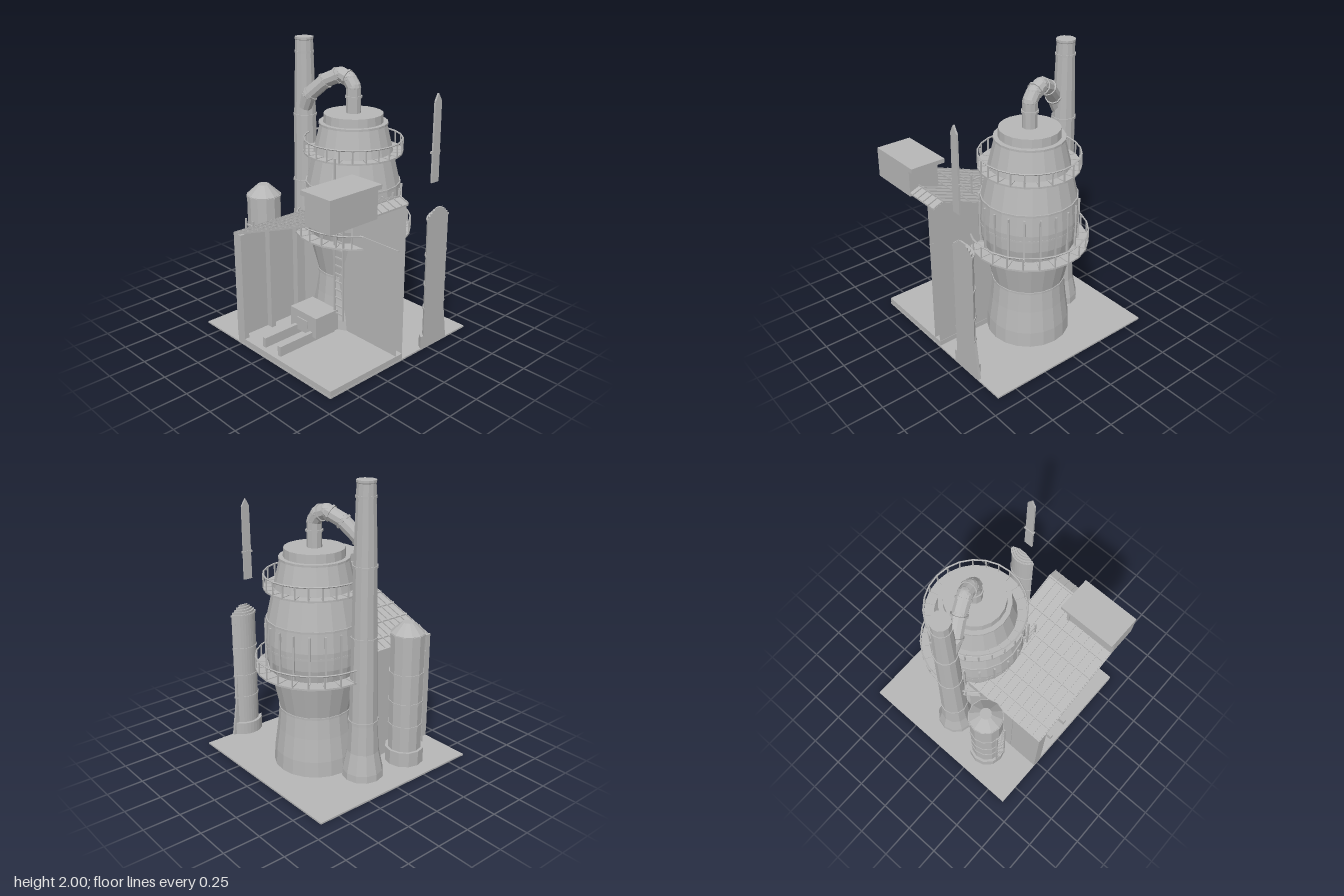
import * as THREE from 'three';

export function createModel() {
  const model = new THREE.Group();
  const grey = new THREE.MeshStandardMaterial({ color: 0xb6b6b6, side: THREE.DoubleSide });
  grey.name = 'plain grey';

  // every part is faceted: split the faces so each has its own normal
  const add = (parent, name, geo, x = 0, y = 0, z = 0) => {
    const flat = geo.index ? geo.toNonIndexed() : geo;
    flat.computeVertexNormals();
    const mesh = new THREE.Mesh(flat, grey);
    mesh.name = name;
    mesh.position.set(x, y, z);
    parent.add(mesh);
    return mesh;
  };
  const group = (name, x = 0, y = 0, z = 0) => {
    const g = new THREE.Group();
    g.name = name;
    g.position.set(x, y, z);
    model.add(g);
    return g;
  };
  // box given by its two corners
  const box = (parent, name, x0, x1, y0, y1, z0, z1) =>
    add(parent, name, new THREE.BoxGeometry(x1 - x0, y1 - y0, z1 - z0),
      (x0 + x1) / 2, (y0 + y1) / 2, (z0 + z1) / 2);
  const lathe = (parent, name, pts, sides) =>
    add(parent, name, new THREE.LatheGeometry(pts.map(p => new THREE.Vector2(p[0], p[1])), sides));
  // raised hoop around a round body
  const hoop = (parent, name, r, y, h, sides) =>
    add(parent, name, new THREE.CylinderGeometry(r, r, h, sides), 0, y, 0);
  // straight round bar between two points
  const bar = (parent, name, a, b, r, sides = 8) => {
    const d = b.clone().sub(a);
    const m = add(parent, name, new THREE.CylinderGeometry(r, r, d.length(), sides));
    m.position.copy(a).addScaledVector(d, 0.5);
    m.quaternion.setFromUnitVectors(new THREE.Vector3(0, 1, 0), d.normalize());
    return m;
  };
  const ladder = (name, x0, x1, y0, y1, z, rungs) => {
    const g = group(name);
    for (const x of [x0, x1]) box(g, 'ladderRail', x - 0.005, x + 0.005, y0, y1, z - 0.006, z + 0.006);
    for (let i = 0; i < rungs; i++) {
      const y = y0 + 0.04 + (y1 - y0 - 0.08) * i / (rungs - 1);
      box(g, 'ladderRung', x0, x1, y - 0.005, y + 0.005, z - 0.004, z + 0.004);
    }
  };

  // ground and building slab
  box(model, 'ground', -0.645, 0.645, 0, 0.012, -0.645, 0.645);
  box(model, 'buildingSlab', -0.28, 0.643, 0.012, 0.05, 0, 0.643);

  // furnace body
  const furnace = group('furnace', 0, 0, -0.165);
  lathe(furnace, 'furnaceShell', [[0.29, 0.01], [0.284, 0.12], [0.262, 0.28], [0.247, 0.43], [0.305, 0.7],
    [0.328, 0.8], [0.333, 0.92], [0.32, 1.06], [0.272, 1.27], [0.225, 1.465], [0.203, 1.47],
    [0.2, 1.53], [0, 1.53]], 20);
  for (const [r, y] of [[0.253, 0.425], [0.333, 0.88], [0.326, 1.06], [0.234, 1.465]])
    hoop(furnace, 'furnaceHoop', r, y, 0.014, 20);
  for (let i = 0; i < 20; i++) {
    const a = (i + 0.5) / 20 * Math.PI * 2;
    const rib = add(furnace, 'furnaceRib', new THREE.BoxGeometry(0.012, 0.3, 0.014),
      Math.sin(a) * 0.33, 0.885, Math.cos(a) * 0.33);
    rib.rotation.y = a;
  }

  // ring walkways with handrails
  const walkway = (y, inner, outer) => {
    const n = 24;
    lathe(furnace, 'walkwayDeck', [[inner, y - 0.006], [outer, y - 0.006], [outer, y + 0.006],
      [inner, y + 0.006], [inner, y - 0.006]], n);
    const rail = add(furnace, 'handrail', new THREE.TorusGeometry(outer - 0.004, 0.006, 5, n), 0, y + 0.09, 0);
    rail.rotation.x = Math.PI / 2;
    for (let i = 0; i < n; i++) {
      const a = i / n * Math.PI * 2, s = Math.sin(a), c = Math.cos(a), r = outer - 0.004;
      add(furnace, 'railPost', new THREE.BoxGeometry(0.008, 0.09, 0.008), s * r, y + 0.045, c * r);
      const beam = add(furnace, 'deckBeam', new THREE.BoxGeometry(0.006, 0.006, outer - inner),
        s * (inner + outer) / 2, y + 0.008, c * (inner + outer) / 2);
      beam.rotation.y = a;
    }
  };
  walkway(0.71, 0.29, 0.403);
  walkway(1.27, 0.26, 0.337);

  // chimney
  const chimney = group('chimney', -0.377, 0, -0.067);
  lathe(chimney, 'chimneyShaft', [[0.14, 0.01], [0.137, 0.06], [0.108, 0.2], [0.097, 0.4], [0.084, 1.0],
    [0.077, 1.47], [0.061, 1.98], [0.064, 1.985], [0.064, 2], [0, 2]], 12);
  for (const [r, y] of [[0.102, 0.42], [0.089, 1.0], [0.083, 1.47], [0.068, 1.9]])
    hoop(chimney, 'chimneyHoop', r, y, 0.014, 12);

  // bent gas duct from furnace top to chimney
  const duct = group('gasDuct');
  const path = [[0, 1.52, -0.165], [0, 1.7, -0.165], [-0.035, 1.75, -0.16], [-0.1, 1.775, -0.145],
    [-0.2, 1.725, -0.1], [-0.31, 1.615, -0.045], [-0.35, 1.53, -0.045]].map(p => new THREE.Vector3(...p));
  for (let i = 0; i < path.length - 1; i++) {
    bar(duct, 'ductSection', path[i], path[i + 1], 0.05, 10);
    if (i > 0) add(duct, 'ductElbow', new THREE.SphereGeometry(0.05, 10, 6), path[i].x, path[i].y, path[i].z);
  }
  const flange = (i, t) => {
    const d = path[i + 1].clone().sub(path[i]).normalize().multiplyScalar(0.007);
    const p = path[i].clone().lerp(path[i + 1], t);
    bar(duct, 'ductFlange', p.clone().sub(d), p.clone().add(d), 0.058, 10);
  };
  [[0, 0.65], [2, 0.3], [3, 0.25], [4, 0.05], [4, 0.9]].forEach(f => flange(...f));

  // storage tank with ladder
  const tank = group('storageTank', -0.415, 0, 0.285);
  lathe(tank, 'tankShell', [[0.135, 0.015], [0.135, 0.12], [0.116, 0.12], [0.116, 0.96], [0.04, 1.03], [0, 1.03]], 12);
  for (const y of [0.3, 0.47, 0.68, 0.95]) hoop(tank, 'tankHoop', 0.121, y, 0.014, 12);
  ladder('tankLadder', -0.455, -0.375, 0.11, 0.8, 0.415, 11);

  // tank sliced off at the right edge of the ground
  const cutTank = group('cutTank');
  const slice = (name, r, y0, y1) => {
    const a = Math.acos(-0.053 / r), s = new THREE.Shape();
    s.absarc(0.698, -0.305, r, a, Math.PI * 2 - a, false);
    const geo = new THREE.ExtrudeGeometry(s, { depth: y1 - y0, bevelEnabled: false, curveSegments: 6 });
    add(cutTank, name, geo.rotateX(Math.PI / 2), 0, y1, 0);
  };
  slice('cutTankBase', 0.135, 0.012, 0.1);
  slice('cutTankShell', 0.113, 0.1, 0.94);
  for (const y of [0.3, 0.47, 0.68, 0.93]) slice('cutTankHoop', 0.118, y - 0.007, y + 0.007);
  for (let i = 0; i < 4; i++) slice('cutTankRoof', 0.107 - i * 0.014, 0.94 + i * 0.015, 0.955 + i * 0.015);

  // sliced second chimney: tapering foot, and the duct strip above it
  const plate = (name, pts, x0, x1) => {
    const s = new THREE.Shape(pts.map(p => new THREE.Vector2(-p[0], p[1])));
    const geo = new THREE.ExtrudeGeometry(s, { depth: x1 - x0, bevelEnabled: false });
    add(model, name, geo.rotateY(Math.PI / 2), x0, 0, 0);
  };
  plate('cutChimneyFoot', [[-0.30, 0.012], [-0.44, 0.012], [-0.43, 0.08], [-0.40, 0.3], [-0.375, 0.9],
    [-0.35, 0.9], [-0.325, 0.3], [-0.31, 0.08]], 0.625, 0.645);
  plate('cutChimneyBand', [[-0.335, 0.86], [-0.39, 0.86], [-0.39, 0.875], [-0.335, 0.875]], 0.622, 0.645);
  plate('cutDuct', [[-0.225, 1.18], [-0.29, 1.18], [-0.288, 1.7], [-0.257, 1.75], [-0.23, 1.7]], 0.632, 0.645);
  box(model, 'cutDuctBand', 0.626, 0.645, 1.37, 1.385, -0.297, -0.219);

  // building walls, the back one hollow
  const building = group('building');
  const wall = new THREE.Shape([[-0.28, 0.05], [0.643, 0.05], [0.643, 1.09], [0.575, 1.115], [-0.28, 0.8]]
    .map(p => new THREE.Vector2(...p)));
  add(building, 'backWallInside', new THREE.ShapeGeometry(wall), 0, 0, 0.06);
  add(building, 'backWallOutside', new THREE.ShapeGeometry(wall), 0, 0, 0.003);
  box(building, 'wallLedge', 0.3, 0.643, 0.795, 0.803, 0.058, 0.066);
  box(building, 'sideWall', -0.28, -0.255, 0.05, 0.8, 0.003, 0.643);
  for (const z of [0.625, 0.39, 0.15])
    box(building, 'wallColumn', -0.285, -0.21, 0.05, 0.81, z - 0.018, z + 0.018);

  // sloping roof, cut round the furnace
  const roofY = x => x < 0.575 ? 0.805 + (x + 0.285) * 0.372 : 1.125 - (x - 0.575) * 0.4;
  const roofPiece = (name, geo, lift = 0) => {
    const p = geo.attributes.position;
    for (let i = 0; i < p.count; i++) p.setY(i, p.getY(i) + roofY(p.getX(i)) + lift);
    add(building, name, geo);
  };
  const slope = new THREE.Shape();
  slope.moveTo(-0.285, 0.643).lineTo(0.575, 0.643).lineTo(0.575, -0.015);
  slope.absarc(0, -0.165, 0.335, 0.464, 2.587, false);
  roofPiece('mainRoof', new THREE.ExtrudeGeometry(slope, { depth: 0.012, bevelEnabled: false, curveSegments: 14 })
    .rotateX(Math.PI / 2));
  roofPiece('ridgeRoof', new THREE.BoxGeometry(0.068, 0.012, 0.658).translate(0.609, -0.006, 0.314));
  // the nearest z clear of the furnace at a given x, and the reverse
  const clearZ = x => Math.abs(x) < 0.3 ? -0.165 + Math.sqrt(0.1122 - x * x) : -0.015;
  for (const x of [-0.28, -0.18, -0.045, 0.09, 0.225, 0.36, 0.57]) {
    const z0 = clearZ(x);
    roofPiece('roofRafter', new THREE.BoxGeometry(0.01, 0.012, 0.643 - z0).translate(x, 0.004, (z0 + 0.643) / 2));
  }
  for (let i = 0; i < 12; i++) {
    const z = -0.01 + i * 0.0585;
    const x0 = z < 0.17 ? Math.sqrt(0.1122 - (z + 0.165) ** 2) : -0.285;
    roofPiece('roofBatten', new THREE.BoxGeometry(0.57 - x0, 0.01, 0.007).translate((x0 + 0.57) / 2, 0.004, z));
    if (z < 0.17 && x0 < 0.285)
      roofPiece('roofBatten', new THREE.BoxGeometry(0.285 - x0, 0.01, 0.007).translate(-(0.285 + x0) / 2, 0.004, z));
    roofPiece('ridgeBatten', new THREE.BoxGeometry(0.066, 0.01, 0.007).translate(0.61, 0.004, z));
  }

  // rooftop box
  box(building, 'roofVentBody', 0.43, 0.643, 1.07, 1.25, 0.26, 0.643);
  box(building, 'roofVentCap', 0.39, 0.643, 1.25, 1.28, 0.225, 0.643);
  box(building, 'roofVentPost', 0.418, 0.43, 1.08, 1.25, 0.27, 0.285);

  // furnace ladder
  ladder('furnaceLadder', 0.155, 0.235, 0.18, 1.14, 0.15, 16);
  box(model, 'ladderHandhold', 0.15, 0.16, 1.14, 1.31, 0.144, 0.156);

  // tapping machine on two floor beams
  const machine = group('tappingMachine');
  box(machine, 'machineBody', -0.095, 0.165, 0.085, 0.235, 0.13, 0.33);
  box(machine, 'machineHatch', -0.02, 0.08, 0.13, 0.185, 0.33, 0.338);
  for (const x of [-0.04, 0.115]) box(machine, 'floorBeam', x - 0.014, x + 0.014, 0.05, 0.12, 0.13, 0.61);

  return model;
}
